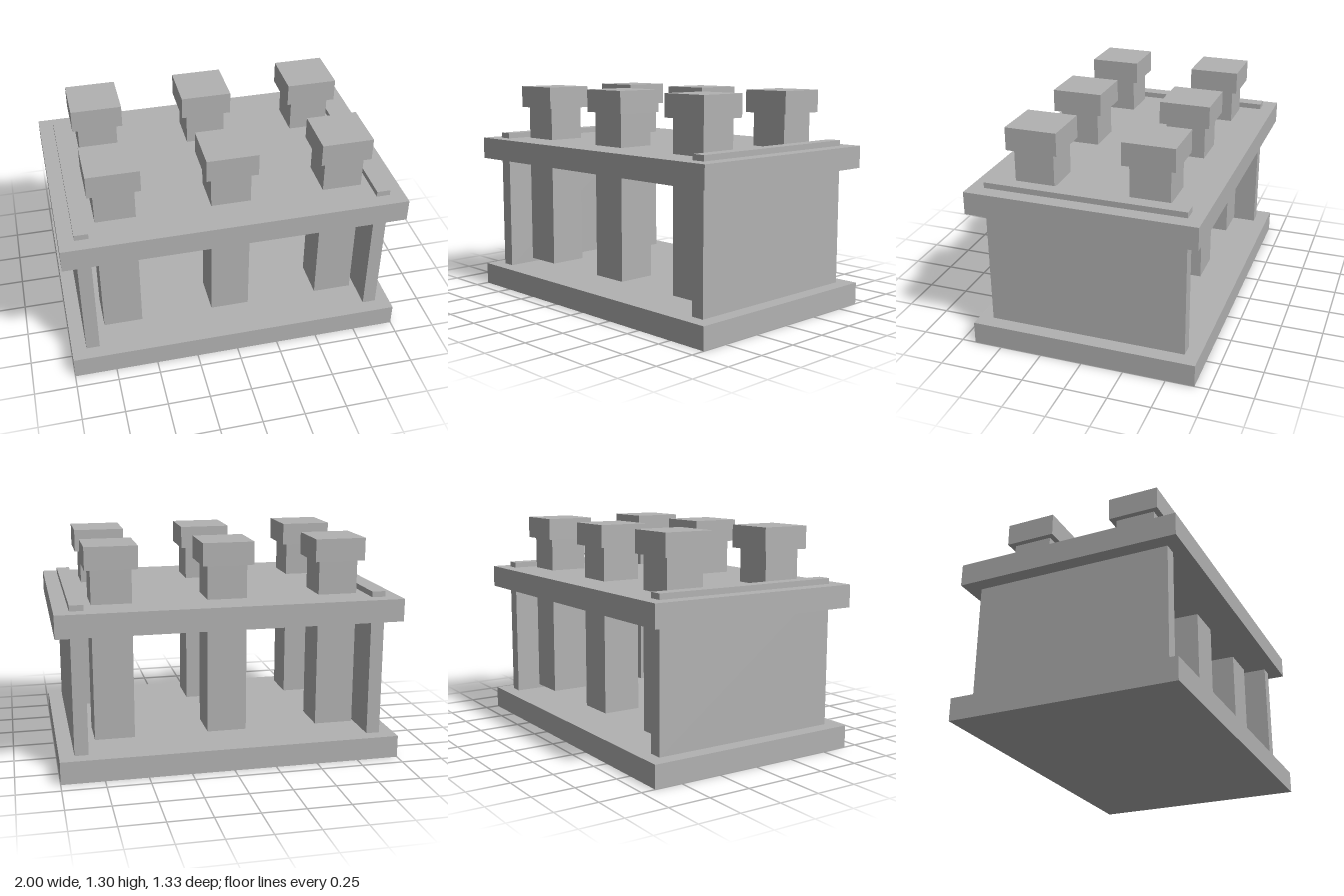
import * as THREE from 'three';

export function createModel() {
  const model = new THREE.Group();
  const grey = new THREE.MeshStandardMaterial({ color: 0xb2b2b2 });
  grey.name = 'plain grey';

  // Box standing between two heights, centred on x and z
  function block(name, width, depth, bottom, top, x = 0, z = 0, parent = model) {
    const mesh = new THREE.Mesh(new THREE.BoxGeometry(width, top - bottom, depth), grey);
    mesh.name = name;
    mesh.position.set(x, (bottom + top) / 2, z);
    parent.add(mesh);
  }

  // Base and upper plate
  block('base', 2, 1.333, 0, 0.133);
  block('upperPlate', 2, 1.333, 0.837, 0.97);

  // Side walls, their top edges passing through the upper plate
  block('leftWall', 0.08, 1.167, 0.133, 1.003, 0.873);
  block('rightWall', 0.08, 1.167, 0.133, 1.003, -0.873);

  // Six capped pegs hanging through the plate, clear of the base
  for (const z of [-0.335, 0.335]) {
    for (const x of [-0.667, 0, 0.667]) {
      const peg = new THREE.Group();
      peg.name = 'peg';
      peg.position.set(x, 0, z);
      block('pegShaft', 0.233, 0.233, 0.17, 1.17, 0, 0, peg);
      block('pegCap', 0.3, 0.3, 1.17, 1.303, 0, 0, peg);
      model.add(peg);
    }
  }

  return model;
}
